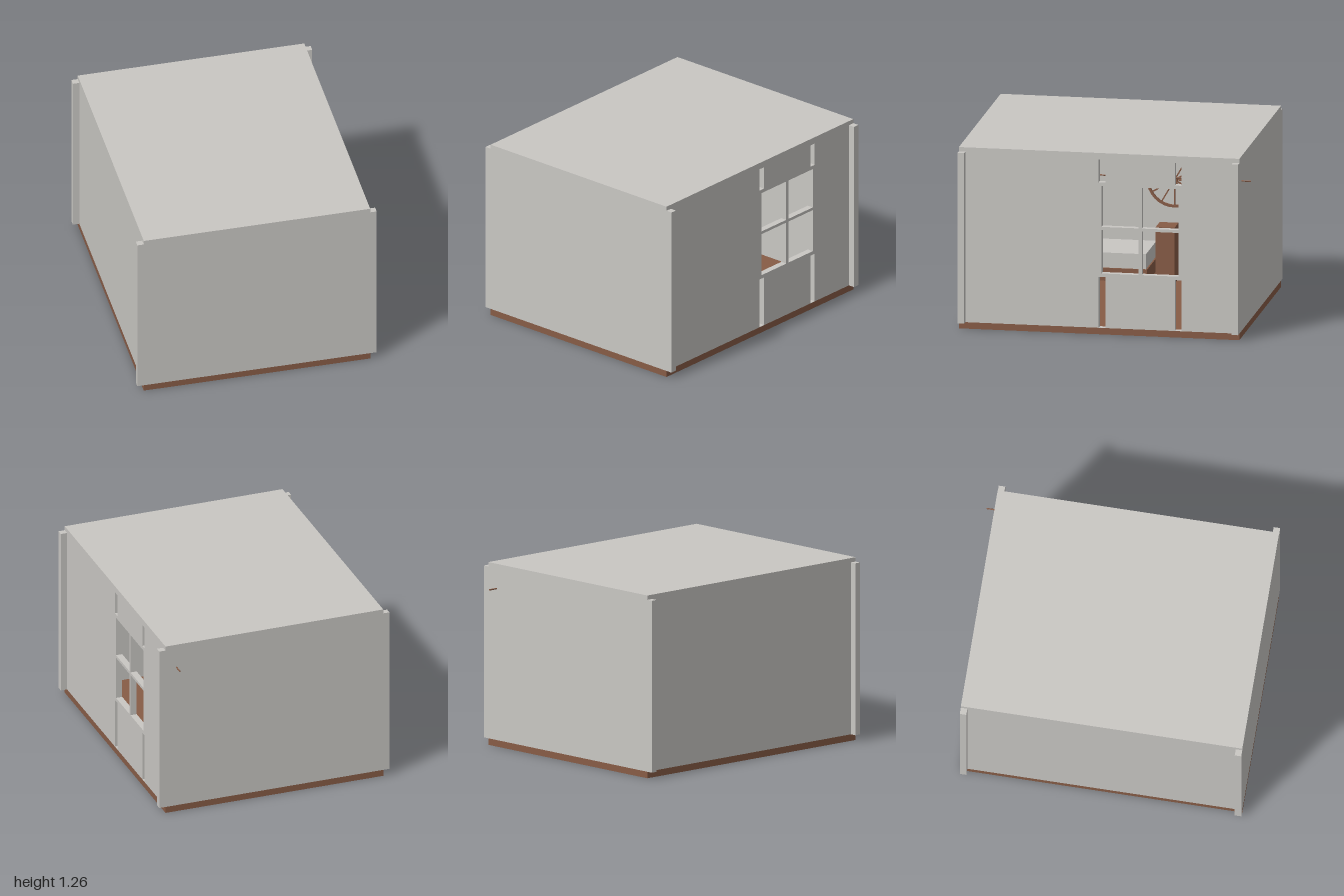
import * as THREE from 'three';

const plaster = new THREE.MeshStandardMaterial({ color: 0xc9c7c3 });
plaster.name = 'plaster';
const wood = new THREE.MeshStandardMaterial({ color: 0x875c46 });
wood.name = 'wood';

const T = 0.045; // wall thickness
const X = 0.79, ZB = -0.935, ZF = 1, TOP = 1.265;

function add(parent, name, geometry, material) {
  const mesh = new THREE.Mesh(geometry, material);
  mesh.name = name;
  parent.add(mesh);
  return mesh;
}

// Box given by its lower and upper limits on each axis
function box(parent, name, material, [x0, x1], [y0, y1], [z0, z1]) {
  const mesh = add(parent, name, new THREE.BoxGeometry(x1 - x0, y1 - y0, z1 - z0), material);
  mesh.position.set((x0 + x1) / 2, (y0 + y1) / 2, (z0 + z1) / 2);
  return mesh;
}

function rectangle(path, x0, x1, y0, y1) {
  path.moveTo(x0, y0).lineTo(x1, y0).lineTo(x1, y1).lineTo(x0, y1).closePath();
  return path;
}

// Side wall with four window panes and the open stud slots
function windowWall(parent) {
  const shape = rectangle(new THREE.Shape(), ZB + T, ZF - T, T, TOP - T);
  for (const [z0, z1] of [[-0.515, -0.262], [-0.24, 0.015]]) {
    for (const [y0, y1] of [[0.425, 0.73], [0.75, 1.035]]) {
      shape.holes.push(rectangle(new THREE.Path(), z0, z1, y0, y1));
    }
  }
  for (const z of [-0.535, -0.01]) {
    for (const [y0, y1] of [[T + 0.001, 0.4], [1.06, TOP - T - 0.001]]) {
      shape.holes.push(rectangle(new THREE.Path(), z, z + T, y0, y1));
    }
  }
  const geometry = new THREE.ExtrudeGeometry(shape, { depth: T, bevelEnabled: false });
  const wall = add(parent, 'windowWall', geometry, plaster);
  wall.rotation.y = -Math.PI / 2;
  wall.position.x = X;
}

// Spoked wheel hung on the wall opposite the window
function wheel() {
  const group = new THREE.Group();
  group.name = 'wallWheel';
  const rim = new THREE.Shape().absarc(0, 0, 0.192, 0, Math.PI * 2);
  rim.holes.push(new THREE.Path().absarc(0, 0, 0.176, 0, Math.PI * 2));
  add(group, 'wheelRim', new THREE.ExtrudeGeometry(rim, { depth: 0.02, bevelEnabled: false, curveSegments: 16 }), wood);
  const hub = add(group, 'wheelHub', new THREE.CylinderGeometry(0.024, 0.024, 0.03, 12), wood);
  hub.rotation.x = Math.PI / 2;
  hub.position.z = 0.015;
  for (let i = 0; i < 12; i++) {
    const a = i * Math.PI / 6;
    const spoke = add(group, 'wheelSpoke', new THREE.BoxGeometry(0.17, 0.009, 0.01), wood);
    spoke.position.set(Math.cos(a) * 0.095, Math.sin(a) * 0.095, 0.01);
    spoke.rotation.z = a;
  }
  group.rotation.y = Math.PI / 2;
  group.position.set(-X + T, 0.73, -0.21);
  return group;
}

export function createModel() {
  const room = new THREE.Group();
  room.name = 'room';

  // Shell
  box(room, 'floor', wood, [-X, X], [0, T], [ZB, ZF]);
  box(room, 'roof', plaster, [-X, X], [TOP - T, TOP], [ZB, ZF]);
  box(room, 'frontWall', plaster, [-X, X], [T, TOP - T], [ZF - T, ZF]);
  box(room, 'backWall', plaster, [-X, X], [T, TOP - T], [ZB, ZB + T]);
  box(room, 'plainWall', plaster, [-X, -X + T], [T, TOP - T], [ZB + T, ZF - T]);
  windowWall(room);

  // Corner posts outside the side walls
  for (const x of [[-X - T, -X], [X, X + T]]) {
    for (const z of [[ZB, ZB + T], [ZF - T, ZF]]) {
      box(room, 'cornerPost', plaster, x, [T, 1.235], z);
    }
  }

  // Curtain rod, running out through the back wall
  const rod = add(room, 'curtainRod', new THREE.CylinderGeometry(0.005, 0.005, 1.52, 8), wood);
  rod.rotation.x = Math.PI / 2;
  rod.position.set(0.71, 1.093, -0.24);

  // Furnishings
  room.add(wheel());
  const bed = new THREE.Group();
  bed.name = 'bed';
  room.add(bed);
  box(bed, 'bedFrame', wood, [-0.72, -0.3], [0.11, 0.2], [-0.1, 0.85]);
  box(bed, 'mattress', plaster, [-0.71, -0.31], [0.2, 0.305], [-0.09, 0.84]);
  for (const x of [-0.72, -0.34]) {
    for (const z of [-0.1, 0.81]) box(bed, 'bedLeg', wood, [x, x + 0.04], [T, 0.11], [z, z + 0.04]);
  }
  box(room, 'lowChest', wood, [-0.72, -0.45], [T, 0.145], [-0.75, -0.45]);
  box(room, 'stool', wood, [-0.72, -0.57], [T, 0.435], [-0.24, -0.11]);

  return room;
}
